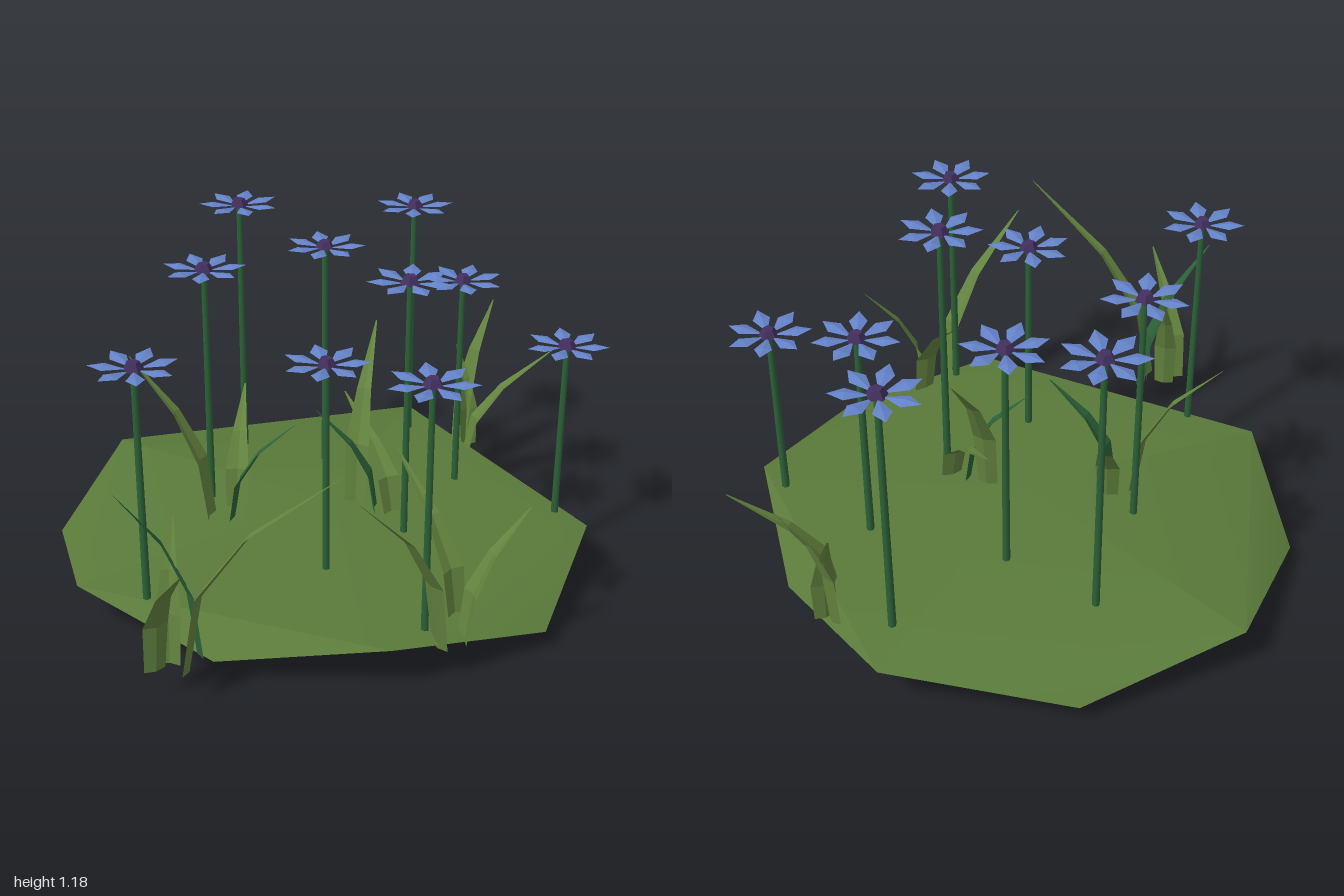
import * as THREE from 'three';
import { toCreasedNormals } from 'three/addons/utils/BufferGeometryUtils.js';

const V = (x, y, z) => new THREE.Vector3(x, y, z);

// Faceted mound: top and bottom poles joined by a zigzag rim
function moundGeometry() {
  const rim = [[0.93, -0.09], [0.76, 0.44], [0.26, 0.72], [-0.31, 0.68], [-0.8, 0.42],
    [-0.97, -0.09], [-0.84, -0.63], [-0.35, -0.95], [0.28, -1], [0.7, -0.58]]
    .map(([x, z], i) => V(x, i % 2 ? 0.07 : 0.168, z));
  const top = V(-0.03, 0.235, -0.11), bottom = V(-0.03, 0, -0.11), tris = [];
  for (let i = 0; i < 10; i++) {
    const a = rim[i], b = rim[(i + 1) % 10], c = rim[(i + 2) % 10];
    if (i % 2) tris.push(a, b, c, bottom, a, c);
    else tris.push(c, b, a, top, c, a);
  }
  return toCreasedNormals(new THREE.BufferGeometry().setFromPoints(tris), 0.5);
}

// Tapered, slightly folded grass blade that bends outward from base to tip
function bladeGeometry(base, tip, width) {
  const out = V(tip.x - base.x, 0, tip.z - base.z);
  const dir = out.clone().normalize(), side = V(-dir.z, 0, dir.x);
  const steps = [[0, 0, 0.85], [0.1, 0.38, 1], [0.42, 0.68, 0.6], [1, 1, 0.06]];
  const rows = steps.map(([h, v, w]) => {
    const c = base.clone().addScaledVector(out, h);
    c.y += (tip.y - base.y) * v;
    return [-1, 0, 1].map(s => c.clone().addScaledVector(side, s * w * width / 2)
      .addScaledVector(dir, s ? 0 : w * 0.012));
  });
  const tris = [];
  for (let r = 0; r < 3; r++) for (let s = 0; s < 2; s++) {
    const a = rows[r][s], b = rows[r][s + 1], c = rows[r + 1][s + 1], d = rows[r + 1][s];
    tris.push(a, c, b, a, d, c);
  }
  const g = new THREE.BufferGeometry().setFromPoints(tris);
  g.computeVertexNormals();
  return g;
}

// Kite-shaped petal along +x, widest past the middle
function petalGeometry() {
  const g = new THREE.OctahedronGeometry(1, 0), p = g.attributes.position;
  for (let i = 0; i < p.count; i++) {
    const x = p.getX(i), mid = Math.abs(x) < 0.1;
    p.setXYZ(i, mid ? 0.094 : 0.082 + x * 0.063, p.getY(i) * 0.008, p.getZ(i) * 0.03);
  }
  g.computeVertexNormals();
  return g;
}

export function createModel() {
  const group = new THREE.Group();
  const mat = (name, color, extra = {}) => {
    const m = new THREE.MeshStandardMaterial({ color, ...extra });
    m.name = name;
    return m;
  };
  const soil = mat('moss green', 0x5a7a3a);
  const grass = mat('grass green', 0x64843f, { side: THREE.DoubleSide });
  const deep = mat('deep green', 0x2c6238, { side: THREE.DoubleSide });
  const blue = mat('petal blue', 0x6482c8, { flatShading: true });
  const purple = mat('centre purple', 0x43305f, { flatShading: true });
  const add = (parent, name, geo, material) => {
    const m = new THREE.Mesh(geo, material);
    m.name = name;
    parent.add(m);
    return m;
  };

  add(group, 'groundMound', moundGeometry(), soil);

  // Flowers: x, head height, z
  const petal = petalGeometry();
  const centre = new THREE.CylinderGeometry(0.02, 0.035, 0.028, 5);
  [[0.28, 1.1, -0.8], [-0.35, 1.16, -0.6], [-0.03, 1.06, -0.46], [0.46, 0.98, -0.37],
    [0.82, 0.825, -0.18], [-0.42, 1.085, -0.15], [0.28, 1.14, 0.05], [0.025, 0.955, 0.3],
    [-0.555, 1.005, 0.475], [0.36, 1.035, 0.59]].forEach(([x, y, z], i) => {
    const flower = new THREE.Group();
    flower.name = 'flower';
    flower.position.set(x, y, z);
    group.add(flower);
    const h = y - 0.15;
    add(flower, 'stem', new THREE.CylinderGeometry(0.011, 0.014, h, 6), deep).position.y = -h / 2;
    const head = new THREE.Group();
    head.name = 'flowerHead';
    head.rotation.y = i * 0.37 + 0.2;
    flower.add(head);
    add(head, 'flowerCentre', centre, purple).position.y = 0.008;
    for (let k = 0; k < 7; k++) {
      const p = add(head, 'petal', petal, blue);
      p.rotation.set(0, k * Math.PI * 2 / 7, 0.08);
      p.position.y = -0.006;
    }
  });

  // Grass tufts: base height, then blades as base x, z, tip x, y, z, deep colour flag
  const tufts = [
    [0.11, [-0.38, 0.79, 0.11, 0.88, 0.9], [-0.48, 0.79, -0.35, 0.585, 0.99],
      [-0.35, 0.69, -0.575, 0.735, 0.79, 1], [-0.44, 0.76, -0.43, 0.57, 0.62]],
    [0.2, [-0.4, -0.01, -0.68, 0.785, -0.08], [-0.32, -0.07, -0.31, 0.58, -0.32],
      [-0.33, 0, -0.095, 0.6, 0.03, 1]],
    [0.21, [0.1, -0.1, 0.16, 0.82, -0.37], [0.24, -0.06, 0.05, 0.54, -0.36],
      [0.18, -0.07, -0.035, 0.6, -0.08, 1]],
    [0.12, [0.47, 0.5, 0.25, 0.64, 0.24], [0.48, 0.58, 0.68, 0.57, 0.49],
      [0.41, 0.62, 0.16, 0.77, 0.86]],
    [0.13, [0.5, -0.64, 0.82, 0.57, -0.71], [0.48, -0.77, 0.595, 0.69, -0.9],
      [0.52, -0.75, 0.46, 0.53, -0.83]],
  ];
  for (const [baseY, ...blades] of tufts) {
    const tuft = new THREE.Group();
    tuft.name = 'grassTuft';
    group.add(tuft);
    for (const [bx, bz, tx, ty, tz, dark] of blades)
      add(tuft, 'grassBlade', bladeGeometry(V(bx, baseY, bz), V(tx, ty, tz), 0.085), dark ? deep : grass);
  }
  return group;
}
